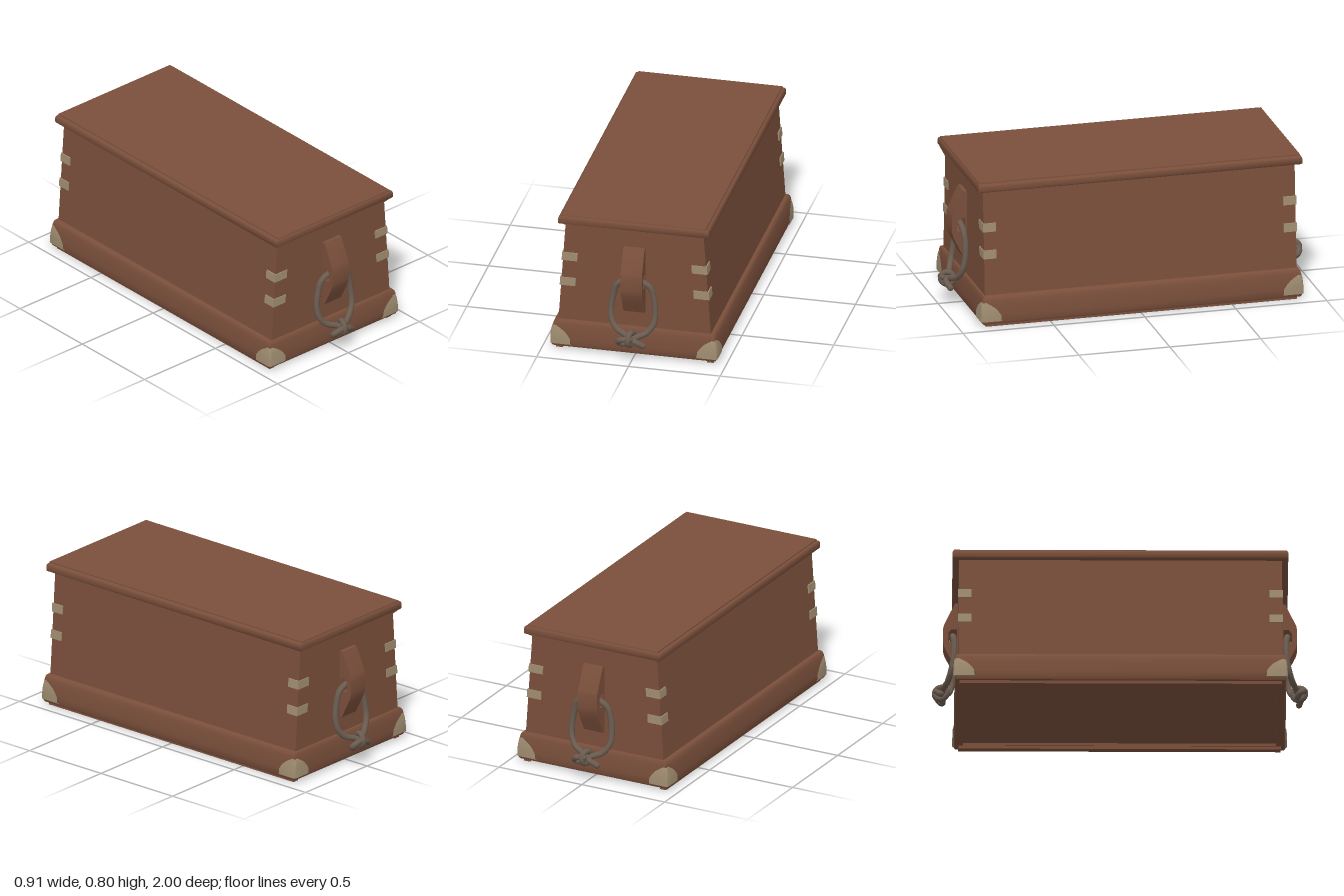
import * as THREE from 'three';
import { toCreasedNormals } from 'three/addons/utils/BufferGeometryUtils.js';

const wood = new THREE.MeshStandardMaterial({ color: 0x7a4f3b });
wood.name = 'brown wood';
const metal = new THREE.MeshStandardMaterial({ color: 0xa08d71, side: THREE.DoubleSide });
metal.name = 'pale brass';
const rope = new THREE.MeshStandardMaterial({ color: 0x6a5b4f });
rope.name = 'grey rope';

function add(parent, name, geometry, material) {
  const mesh = new THREE.Mesh(geometry, material);
  mesh.name = name;
  parent.add(mesh);
  return mesh;
}

// Rectangular sections [y, halfX, halfZ] joined from bottom to top, closed at both ends.
function loft(sections, crease = 0.7) {
  const pos = [], idx = [];
  for (const [y, hx, hz] of sections) pos.push(hx, y, hz, hx, y, -hz, -hx, y, -hz, -hx, y, hz);
  for (let s = 0; s < sections.length - 1; s++) {
    for (let i = 0; i < 4; i++) {
      const a = s * 4 + i, b = s * 4 + (i + 1) % 4;
      idx.push(a, b, b + 4, a, b + 4, a + 4);
    }
  }
  const t = (sections.length - 1) * 4;
  idx.push(0, 2, 1, 0, 3, 2, t, t + 1, t + 2, t, t + 2, t + 3);
  const g = new THREE.BufferGeometry();
  g.setAttribute('position', new THREE.Float32BufferAttribute(pos, 3));
  g.setIndex(idx);
  return toCreasedNormals(g, crease);
}

// L-shaped strap bent round a body corner, leaning with the tapered side.
function cornerStrap(sx, sz, y, height) {
  const taper = 0.04 / 0.575;
  const hx = 0.415 - (y - 0.175) * taper;
  const arm = 0.078, t = 0.007;
  const outline = [
    [hx - arm, 0.862], [hx + t, 0.862], [hx + t, 0.79],
    [hx - 0.004, 0.79], [hx - 0.004, 0.85], [hx - arm, 0.85],
  ].map(([x, z]) => new THREE.Vector2(x * sx, -z * sz));
  const g = new THREE.ExtrudeGeometry(new THREE.Shape(outline), { depth: height, bevelEnabled: false });
  g.rotateX(-Math.PI / 2);
  const p = g.attributes.position;
  for (let i = 0; i < p.count; i++) p.setX(i, p.getX(i) - sx * taper * p.getY(i));
  g.translate(0, y, 0);
  g.computeVertexNormals();
  return g;
}

// Rounded cap following the base moulding: rows of [y, halfX, halfZ, arm length].
function cornerCap(sx, sz) {
  const rows = [
    [0.036, 0.448, 0.878, 0.11], [0.037, 0.456, 0.887, 0.112], [0.07, 0.456, 0.887, 0.11],
    [0.095, 0.454, 0.886, 0.092], [0.115, 0.451, 0.884, 0.07], [0.13, 0.448, 0.882, 0.045],
    [0.14, 0.446, 0.88, 0.025], [0.141, 0.438, 0.872, 0.02],
  ];
  const pos = [], idx = [], n = 7, r = 0.014;
  for (const [y, hx, hz, arm] of rows) {
    pos.push(sx * (hx - arm), y, sz * hz);
    for (let i = 0; i < n - 2; i++) {
      const a = i / (n - 3) * Math.PI / 2;
      pos.push(sx * (hx - r + r * Math.sin(a)), y, sz * (hz - r + r * Math.cos(a)));
    }
    pos.push(sx * hx, y, sz * (hz - arm));
  }
  for (let s = 0; s < rows.length - 1; s++) {
    for (let i = 0; i < n - 1; i++) {
      const a = s * n + i, b = a + 1, c = b + n, d = a + n;
      if (sx * sz > 0) idx.push(a, b, c, a, c, d);
      else idx.push(a, c, b, a, d, c);
    }
  }
  const g = new THREE.BufferGeometry();
  g.setAttribute('position', new THREE.Float32BufferAttribute(pos, 3));
  g.setIndex(idx);
  return toCreasedNormals(g, 1.0);
}

// One end of the chest: lid valance, slotted bracket and knotted rope handle.
function createEnd() {
  const end = new THREE.Group();

  const v = new THREE.Shape();
  v.moveTo(-0.4, 0.752);
  v.lineTo(-0.37, 0.745);
  v.lineTo(-0.04, 0.69);
  v.quadraticCurveTo(0, 0.683, 0.04, 0.69);
  v.lineTo(0.37, 0.745);
  v.lineTo(0.4, 0.752);
  const valance = new THREE.ExtrudeGeometry(v, { depth: 0.03, bevelEnabled: false });
  valance.translate(0, 0, 0.857);
  add(end, 'lidValance', valance, wood);

  // Bracket profile drawn in (z, y), extruded across x
  const b = new THREE.Shape([
    [0.855, 0.265], [0.872, 0.265], [0.905, 0.33], [0.932, 0.385], [0.939, 0.415],
    [0.939, 0.49], [0.934, 0.515], [0.876, 0.64], [0.855, 0.64],
  ].map(([z, y]) => new THREE.Vector2(z, y)));
  b.holes.push(new THREE.Path([
    [0.866, 0.41], [0.866, 0.49], [0.895, 0.49], [0.911, 0.47], [0.911, 0.42],
  ].map(([z, y]) => new THREE.Vector2(z, y))));
  let bracket = new THREE.ExtrudeGeometry(b, { depth: 0.116, bevelEnabled: false });
  bracket.translate(0, 0, -0.058);
  bracket.rotateY(-Math.PI / 2);
  bracket = toCreasedNormals(bracket, 0.6);
  add(end, 'handleBracket', bracket, wood);

  // Rope runs from one tail, through the bracket, and back to the other tail
  const path = [
    [0.065, 0.108, 0.95], [0.025, 0.132, 0.962], [-0.03, 0.155, 0.935], [-0.085, 0.178, 0.913],
    [-0.115, 0.22, 0.897], [-0.122, 0.285, 0.884], [-0.108, 0.37, 0.88], [-0.09, 0.425, 0.884],
    [-0.05, 0.452, 0.888], [0.05, 0.452, 0.888], [0.09, 0.425, 0.884], [0.108, 0.37, 0.88],
    [0.118, 0.285, 0.884], [0.113, 0.22, 0.897], [0.08, 0.172, 0.915], [0.03, 0.15, 0.94],
    [-0.01, 0.125, 0.945], [-0.04, 0.105, 0.94], [-0.068, 0.12, 0.955], [-0.05, 0.14, 0.972],
    [0.0, 0.15, 0.975],
  ].map((p) => new THREE.Vector3(...p));
  const curve = new THREE.CatmullRomCurve3(path, false, 'centripetal');
  add(end, 'ropeHandle', new THREE.TubeGeometry(curve, 120, 0.0165, 10), rope);
  for (const p of [path[0], path[path.length - 1]]) {
    add(end, 'ropeEnd', new THREE.SphereGeometry(0.0165, 10, 8), rope).position.copy(p);
  }
  const wrap = add(end, 'knotWrap', new THREE.TorusGeometry(0.034, 0.016, 10, 24), rope);
  wrap.rotation.set(0, Math.PI / 2 - 0.3, 0.2);
  wrap.position.set(0, 0.142, 0.95);
  return end;
}

export function createModel() {
  const chest = new THREE.Group();
  chest.name = 'seaChest';

  // Tapered body
  add(chest, 'body', loft([[0.16, 0.416, 0.857], [0.76, 0.375, 0.857]]), wood);

  // Base moulding with a recessed underside
  add(chest, 'baseMoulding', loft([
    [0.035, 0.39, 0.83], [0.02, 0.39, 0.83], [0.02, 0.443, 0.872], [0.032, 0.449, 0.878],
    [0.07, 0.45, 0.88], [0.12, 0.446, 0.878], [0.15, 0.441, 0.874], [0.165, 0.436, 0.871],
    [0.173, 0.428, 0.866], [0.175, 0.41, 0.85],
  ]), wood);

  // Lid with a softened rim and a thin top board
  add(chest, 'lid', loft([
    [0.748, 0.405, 0.885], [0.754, 0.41, 0.89], [0.78, 0.41, 0.89],
    [0.788, 0.407, 0.888], [0.793, 0.4, 0.884],
  ]), wood);
  add(chest, 'lidTop', loft([[0.79, 0.393, 0.884], [0.8, 0.392, 0.882]]), wood);

  for (const sx of [1, -1]) {
    // Runner under each long side
    const runner = new THREE.BoxGeometry(0.036, 0.022, 1.71);
    add(chest, 'runner', runner, wood).position.set(sx * 0.411, 0.014, 0);
    for (const sz of [1, -1]) {
      add(chest, 'cornerCap', cornerCap(sx, sz), metal);
      add(chest, 'lowerStrap', cornerStrap(sx, sz, 0.374, 0.047), metal);
      add(chest, 'upperStrap', cornerStrap(sx, sz, 0.522, 0.047), metal);
    }
  }

  // Matching ends
  const front = createEnd();
  front.name = 'frontEnd';
  const back = createEnd();
  back.name = 'backEnd';
  back.rotation.y = Math.PI;
  chest.add(front, back);
  return chest;
}
